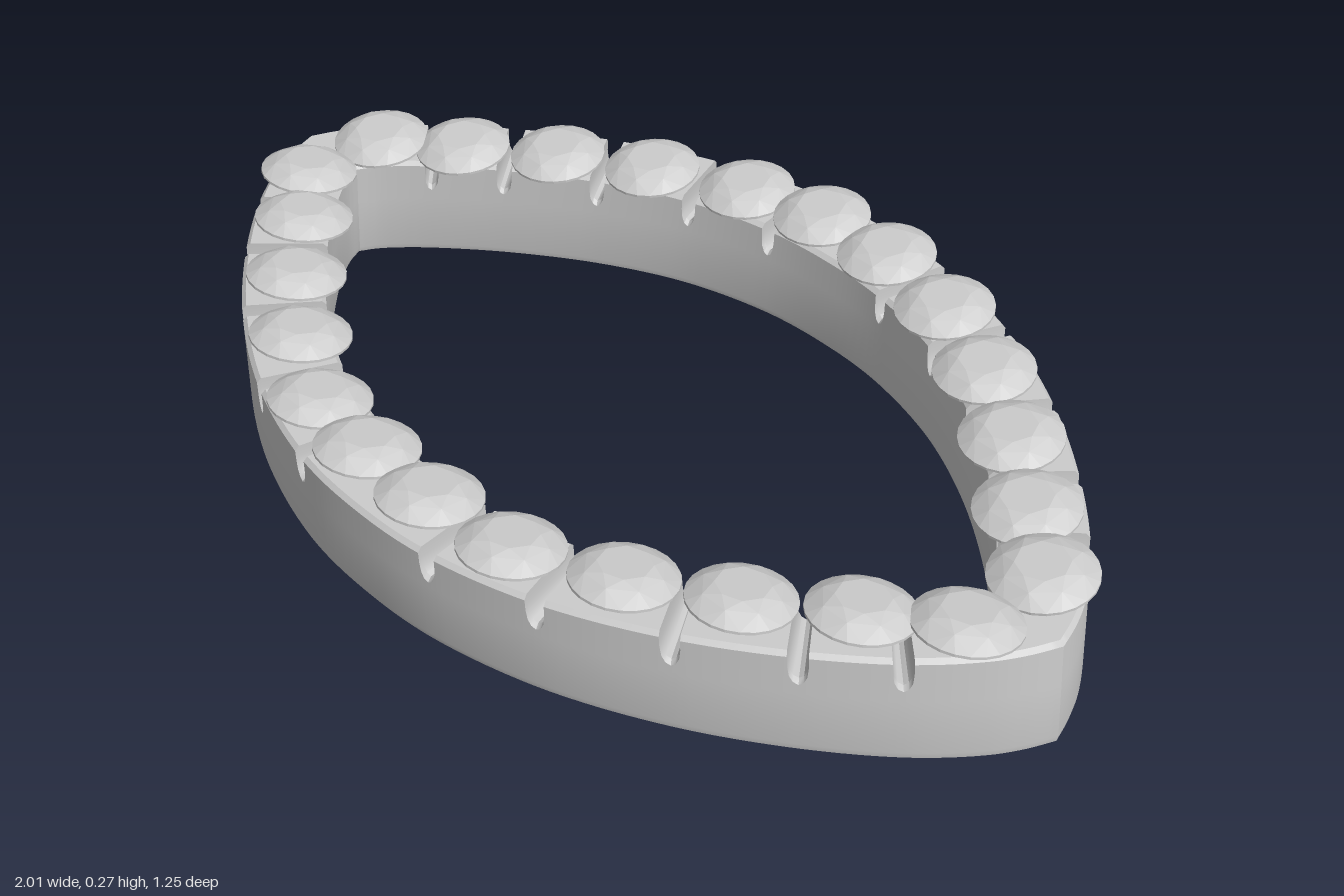
import * as THREE from 'three';
import { toCreasedNormals } from 'three/addons/utils/BufferGeometryUtils.js';
import { ConvexGeometry } from 'three/addons/geometries/ConvexGeometry.js';

const TOP = 0.21;
const material = new THREE.MeshStandardMaterial({ color: 0xcccccc });

// One quarter of an outline (x, z); its second point is mirrored in front for a flat start.
function quarterCurve(points) {
  const all = [[-points[1][0], points[1][1]], ...points];
  const curve = new THREE.CatmullRomCurve3(all.map(([x, z]) => new THREE.Vector3(x, 0, z)));
  const start = 1 / (all.length - 1);
  return (t) => curve.getPoint(start + t * (1 - start));
}

const outer = quarterCurve([[0, 0.625], [0.17, 0.612], [0.38, 0.552], [0.58, 0.45],
  [0.75, 0.327], [0.88, 0.205], [0.955, 0.108], [0.985, 0.052], [1.005, 0]]);
const inner = quarterCurve([[0, 0.465], [0.145, 0.455], [0.325, 0.408], [0.492, 0.325],
  [0.65, 0.212], [0.765, 0.108], [0.81, 0.058], [0.83, 0.03], [0.845, 0]]);

// Stations along a quarter: [t, height of the top], dropping into a U at each notch.
function quarterStations() {
  const notches = [0.175, 0.38, 0.585, 0.75, 0.87].map((x) => {
    let lo = 0, hi = 1;
    for (let i = 0; i < 30; i++) {
      const mid = (lo + hi) / 2;
      if (outer(mid).x < x) lo = mid; else hi = mid;
    }
    const speed = outer(lo + 0.005).distanceTo(outer(lo - 0.005)) / 0.01;
    return { t: lo, half: 0.017 / speed };
  });
  const stations = [];
  for (let i = 0; i <= 48; i++) {
    const t = i / 48;
    if (notches.every((n) => Math.abs(t - n.t) > n.half * 1.2)) stations.push([t, TOP]);
  }
  for (const n of notches) {
    for (const k of [-1.02, -1, -0.85, -0.5, 0, 0.5, 0.85, 1, 1.02]) {
      const y = Math.abs(k) > 1 ? TOP : 0.19 - 0.035 * Math.sqrt(1 - k * k);
      stations.push([n.t + k * n.half, y]);
    }
  }
  return stations.sort((a, b) => a[0] - b[0]);
}

// Band: a rounded cross-section carried round the four mirrored quarters.
function bandGeometry() {
  const stations = quarterStations();
  const reversed = [...stations].reverse();
  const ring = [];
  for (const [sx, sz, list] of [[1, 1, stations], [1, -1, reversed], [-1, -1, stations], [-1, 1, reversed]]) {
    for (const [t, top] of list.slice(0, -1)) ring.push({ sx, sz, t, top });
  }
  // [fraction from outer to inner wall, offset, measured from the top?]
  const section = [[0, 0.018, 0], [0, 0.125, 0], [0, -0.008, 1], [0.05, 0, 1], [0.95, 0, 1],
    [1, -0.008, 1], [1, 0.125, 0], [1, 0.015, 0], [0.98, 0.004, 0], [0.92, 0, 0],
    [0.08, 0, 0], [0.02, 0.006, 0]];
  const positions = [], indices = [];
  const m = section.length;
  ring.forEach(({ sx, sz, t, top }, i) => {
    const o = outer(t), n = inner(t);
    const bottom = 0.013 * (o.z / 0.62) ** 2;
    const next = (i + 1) % ring.length;
    section.forEach(([u, offset, fromTop], j) => {
      const p = o.clone().lerp(n, u);
      const y = (fromTop ? top : bottom) + offset;
      positions.push(sx * p.x * (1 - 0.06 * y), y, sz * p.z * (0.988 + 0.057 * y));
      const k = (j + 1) % m;
      const a = i * m + j, b = next * m + j, c = next * m + k, d = i * m + k;
      indices.push(a, b, c, a, c, d);
    });
  });
  const geometry = new THREE.BufferGeometry();
  geometry.setAttribute('position', new THREE.Float32BufferAttribute(positions, 3));
  geometry.setIndex(indices);
  return toCreasedNormals(geometry, 0.6);
}

// Round-cut stone: table, crown points, girdle and pavilion as flat facets.
function stoneGeometry() {
  const points = [new THREE.Vector3(0, -0.055, 0)];
  const addRing = (count, radius, y, turn = 0) => {
    for (let i = 0; i < count; i++) {
      const a = ((i + turn) / count) * Math.PI * 2;
      points.push(new THREE.Vector3(Math.cos(a) * radius, y, Math.sin(a) * radius));
    }
  };
  addRing(8, 0.046, 0.028);
  addRing(8, 0.068, 0.02, 0.5);
  addRing(24, 0.092, 0.002);
  addRing(24, 0.092, -0.003);
  return new ConvexGeometry(points);
}

export function createModel() {
  const model = new THREE.Group();
  model.name = 'stoneSetBand';

  const band = new THREE.Mesh(bandGeometry(), material);
  band.name = 'band';
  model.add(band);

  // Stones: six per quarter, each leaning slightly inward
  const stones = new THREE.Group();
  stones.name = 'stones';
  const stone = stoneGeometry();
  const places = [[0.085, 0.532, 0.234], [0.26, 0.503, 0.221], [0.437, 0.417, 0.221],
    [0.597, 0.312, 0.221], [0.742, 0.191, 0.221], [0.87, 0.087, 0.221]];
  const up = new THREE.Vector3(0, 1, 0);
  for (const sx of [1, -1]) {
    for (const sz of [1, -1]) {
      places.forEach(([x, z, y], i) => {
        const mesh = new THREE.Mesh(stone, material);
        mesh.name = 'stone';
        mesh.position.set(sx * x, y, sz * z);
        const lean = new THREE.Vector3(-sx * 0.004 * i, 1, -sz * 0.11).normalize();
        mesh.quaternion.setFromUnitVectors(up, lean);
        stones.add(mesh);
      });
    }
  }
  model.add(stones);
  return model;
}
